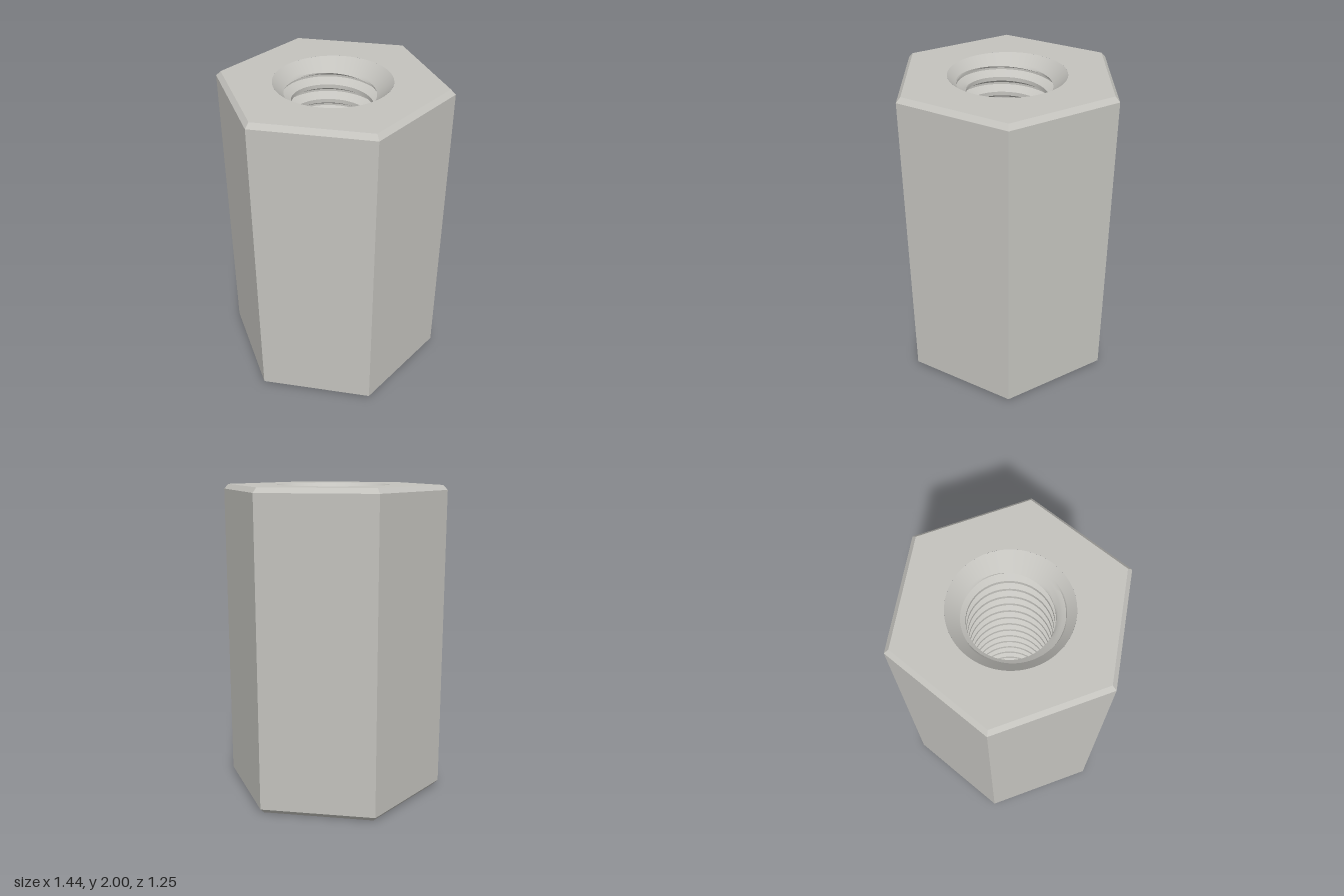
import * as THREE from 'three';
import { toCreasedNormals } from 'three/addons/utils/BufferGeometryUtils.js';

const HEIGHT = 2, RADIUS = 0.72, CHAMFER = 0.03;
const HOLE = 0.36, SINK = 0.05;             // countersink mouth, depth of its plain cone
const MINOR = 0.252, MAJOR = 0.305, PITCH = 0.1;

// Radius of the thread over one pitch: flat crest, flank, flat root, flank
function threadRadius(u) {
  const t = u < 0.25 ? 0 : u < 0.56 ? (u - 0.25) / 0.31 : u < 0.69 ? 1 : (1 - u) / 0.31;
  return MINOR + (MAJOR - MINOR) * t;
}

// Helical bore wall, opened out by the countersink cones at both ends
function threadGeometry() {
  const stops = [0, 0.08, 0.17, 0.25, 0.35, 0.45, 0.56, 0.69, 0.8, 0.9];
  const around = 72, turns = Math.ceil(HEIGHT / PITCH) + 2;
  const rows = turns * stops.length;
  const pos = [], index = [];
  for (let i = 0; i <= around; i++) {
    const a = (i / around) * Math.PI * 2;
    for (let j = 0; j < rows; j++) {
      const u = stops[j % stops.length];
      const turn = Math.floor(j / stops.length) - 1;
      const y = THREE.MathUtils.clamp(PITCH * (turn + u + i / around), SINK, HEIGHT - SINK);
      const r = Math.max(threadRadius(u), HOLE - y, HOLE - (HEIGHT - y));
      pos.push(r * Math.cos(a), y, -r * Math.sin(a));
      if (i < around && j < rows - 1) {
        const p = i * rows + j, q = p + rows;
        index.push(p, p + 1, q, q, p + 1, q + 1);
      }
    }
  }
  const g = new THREE.BufferGeometry();
  g.setAttribute('position', new THREE.Float32BufferAttribute(pos, 3));
  g.setIndex(index);
  return toCreasedNormals(g, 0.45);
}

// Hexagonal end face with the round hole
function endFaceGeometry() {
  const r = RADIUS - CHAMFER;
  const corners = Array.from({ length: 6 }, (_, i) =>
    new THREE.Vector2(r * Math.cos(i * Math.PI / 3), r * Math.sin(i * Math.PI / 3)));
  const shape = new THREE.Shape(corners);
  shape.holes.push(new THREE.Path().absarc(0, 0, HOLE, 0, Math.PI * 2, true));
  return new THREE.ShapeGeometry(shape, 72);
}

export function createModel() {
  const group = new THREE.Group();
  group.name = 'hexCouplingNut';
  const steel = new THREE.MeshStandardMaterial({ color: 0xc4c3be });
  steel.name = 'steel';
  const add = (name, geometry) => {
    const mesh = new THREE.Mesh(geometry, steel);
    mesh.name = name;
    group.add(mesh);
    return mesh;
  };
  const v = (x, y) => new THREE.Vector2(x, y);

  // Six flat sides with chamfered ends
  const sides = new THREE.LatheGeometry([
    v(RADIUS - CHAMFER, 0), v(RADIUS, CHAMFER),
    v(RADIUS, HEIGHT - CHAMFER), v(RADIUS - CHAMFER, HEIGHT),
  ], 6, Math.PI / 2);
  add('hexSides', toCreasedNormals(sides, 0.3));

  // End faces
  const top = add('topFace', endFaceGeometry());
  top.rotation.x = -Math.PI / 2;
  top.position.y = HEIGHT;
  add('bottomFace', endFaceGeometry()).rotation.x = Math.PI / 2;

  // Countersinks and threaded bore
  add('topCountersink', new THREE.LatheGeometry(
    [v(HOLE, HEIGHT), v(HOLE - SINK, HEIGHT - SINK)], 72));
  add('bottomCountersink', new THREE.LatheGeometry([v(HOLE - SINK, SINK), v(HOLE, 0)], 72));
  add('thread', threadGeometry());
  return group;
}
